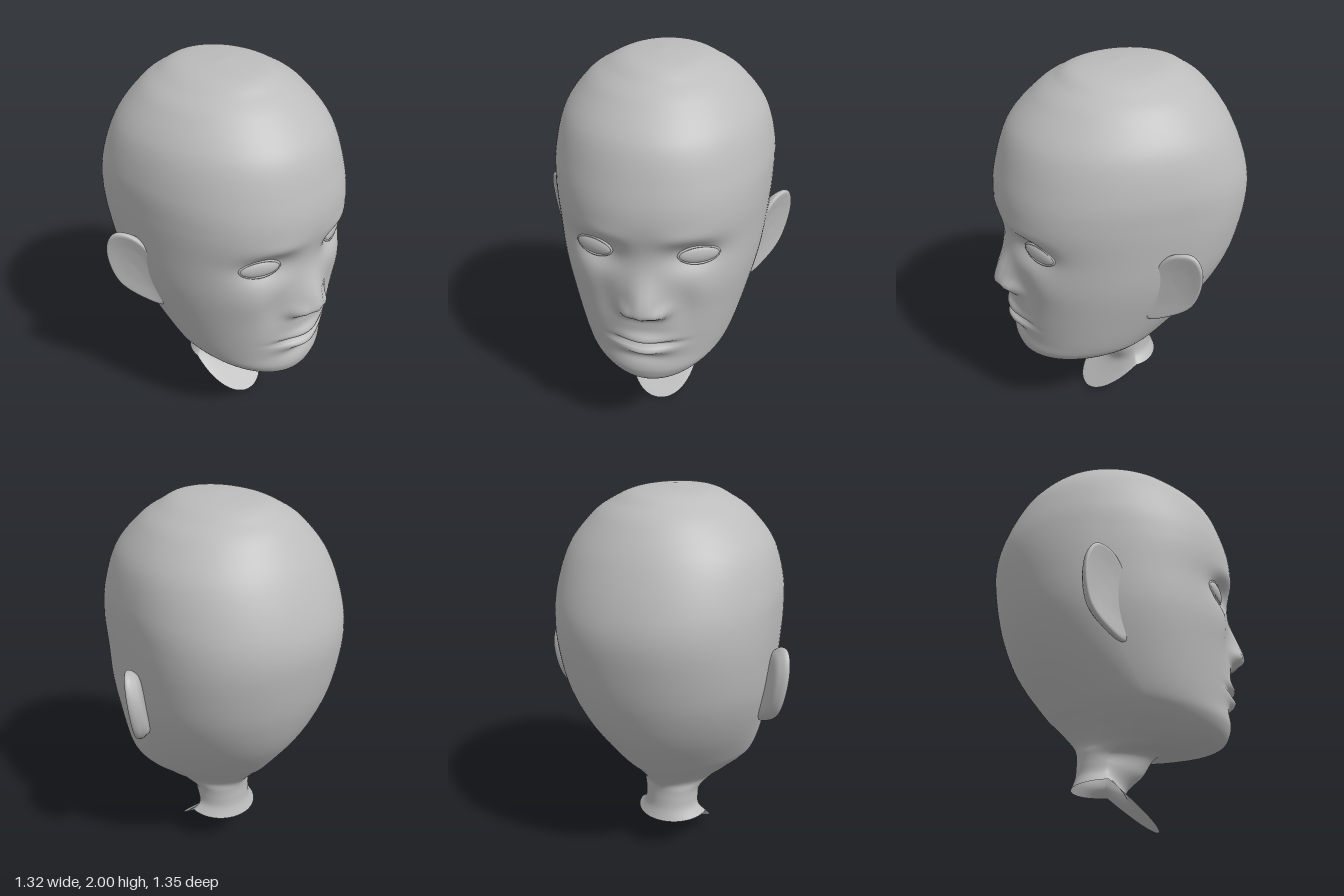
import * as THREE from 'three';

const skin = new THREE.MeshStandardMaterial({ color: 0xbcbcbc, side: THREE.DoubleSide });
skin.name = 'plain grey';

// Closed-around surface from f(u, v), u wrapping round, v running from row to row
function surface(nu, nv, f, flip = false) {
  const pos = [], index = [];
  for (let j = 0; j <= nv; j++)
    for (let i = 0; i < nu; i++) pos.push(...f(i / nu, j / nv));
  for (let j = 0; j < nv; j++)
    for (let i = 0; i < nu; i++) {
      const k = (i + 1) % nu;
      const a = j * nu + i, b = j * nu + k, c = a + nu, d = b + nu;
      if (flip) index.push(a, b, c, b, d, c);
      else index.push(a, c, b, b, c, d);
    }
  const g = new THREE.BufferGeometry();
  g.setAttribute('position', new THREE.Float32BufferAttribute(pos, 3));
  g.setIndex(index);
  g.computeVertexNormals();
  return g;
}

// Smooth interpolation through rows of numbers
function sampleRows(rows, v) {
  const n = rows.length - 1, s = Math.min(v * n, n - 1e-6), i = Math.floor(s), t = s - i;
  const at = k => rows[Math.max(0, Math.min(n, k))];
  return rows[0].map((_, c) => {
    const [p, q, r, w] = [at(i - 1)[c], at(i)[c], at(i + 1)[c], at(i + 2)[c]];
    return q + 0.5 * t * (r - p + t * (2 * p - 5 * q + 4 * r - w + t * (3 * (q - r) + w - p)));
  });
}

// Skull sections: half width, widest z, height, front z, back z, front and back roundness
const skull = [
  [0.00, -0.02, 2.00, -0.02, -0.02, 2.0, 2.0],
  [0.185, -0.04, 1.98, 0.20, -0.27, 2.0, 2.0],
  [0.30, -0.05, 1.93, 0.30, -0.375, 2.0, 2.0],
  [0.395, -0.06, 1.86, 0.40, -0.46, 2.0, 2.0],
  [0.50, -0.08, 1.72, 0.53, -0.56, 2.05, 2.05],
  [0.55, -0.10, 1.54, 0.595, -0.64, 2.15, 2.1],
  [0.556, -0.12, 1.38, 0.62, -0.675, 2.25, 2.15],
  [0.545, -0.12, 1.20, 0.60, -0.66, 2.3, 2.15],
  [0.52, -0.08, 1.00, 0.595, -0.615, 2.3, 2.1],
  [0.47, 0.00, 0.80, 0.59, -0.53, 2.2, 1.95],
].map(([w, zm, y, zF, zB, nF, nB]) => [w, zm, y, zF, y, zB, y, nF, nB]);

// Jaw and neck sections: half width, widest z, side y, front z, front y, back z, back y, roundness
const sections = [...skull,
  [0.405, 0.10, 0.60, 0.575, 0.60, -0.39, 0.60, 2.1, 1.7],
  [0.355, 0.12, 0.52, 0.575, 0.50, -0.315, 0.52, 2.1, 1.6],
  [0.28, 0.12, 0.45, 0.53, 0.425, -0.25, 0.45, 2.0, 1.6],
  [0.205, 0.06, 0.40, 0.40, 0.385, -0.22, 0.41, 1.9, 1.75],
  [0.155, -0.04, 0.355, 0.21, 0.38, -0.21, 0.37, 1.5, 2.0],
  [0.147, -0.06, 0.30, 0.125, 0.275, -0.21, 0.32, 1.5, 2.0],
  [0.155, -0.06, 0.25, 0.04, 0.16, -0.215, 0.26, 1.7, 2.0],
  [0.195, -0.05, 0.21, 0.20, 0.00, -0.235, 0.20, 2.1, 2.0],
];

const bump = (x, y, cx, cy, sx, sy) => Math.exp(-(((x - cx) / sx) ** 2) - ((y - cy) / sy) ** 2);
const band = (x, y, cy, sx, sy) => Math.exp(-((x / sx) ** 4) - ((y - cy) / sy) ** 2);
const smooth = THREE.MathUtils.smoothstep;

// Forward relief of the face at (x, y)
function relief(x, y) {
  const ax = Math.abs(x);
  // nose: ridge growing towards the rounded tip, with nostril wings
  const down = smooth(1.22 - y, 0, 0.3);
  const under = smooth(y, 0.825 + ax * 0.15, 0.91);
  const width = 0.05 + 0.03 * down;
  let d = 0.085 * down ** 1.6 * under * Math.exp(-((ax / width) ** 2));
  d += 0.035 * bump(ax, y, 0.085, 0.9, 0.033, 0.04);
  // brows, eye sockets and cheeks
  d += 0.012 * bump(ax, y, 0.2, 1.3, 0.12, 0.045);
  d -= 0.066 * bump(ax, y, 0.225, 1.19, 0.115, 0.075);
  d -= 0.015 * bump(ax, y, 0.19, 0.92, 0.06, 0.14);
  d += 0.01 * bump(ax, y, 0.31, 1.0, 0.1, 0.1);
  // lips, mouth line and chin
  d += 0.03 * bump(ax, y, 0, 0.722, 0.11, 0.028);
  d += 0.036 * bump(ax, y, 0, 0.655, 0.11, 0.026);
  d -= 0.026 * band(ax, y, 0.693, 0.175, 0.012);
  d -= 0.012 * bump(ax, y, 0, 0.595, 0.12, 0.03);
  return d;
}

function headPoint(u, v) {
  const [w, zm, yS, zF, yF, zB, yB, nF, nB] = sampleRows(sections, v);
  const a = u * Math.PI * 2, s = Math.sin(a), c = Math.cos(a);
  const e = 2 / (c > 0 ? nF : nB);
  const x = w * Math.sign(s) * Math.abs(s) ** e;
  const k = Math.abs(c) ** e;
  const y = yS + ((c > 0 ? yF : yB) - yS) * k;
  let z = zm + ((c > 0 ? zF : zB) - zm) * k;
  if (c > 0) z += relief(x, y) * smooth(z, 0.2, 0.4);
  return [x, y, z];
}

// Ear outline: distance out from the head, height
const earOutline = new THREE.CatmullRomCurve3(
  [[-0.03, 0.8], [0.09, 0.84], [0.18, 0.92], [0.215, 1.06], [0.2, 1.18],
    [0.15, 1.245], [0.07, 1.24], [0.0, 1.17], [-0.04, 1.0]]
    .map(([u, y]) => new THREE.Vector3(u, y, 0)), true);
// Ear rows from back to front: outline scale, thickness offset
const earRows = [[0, -0.06], [0.7, -0.055], [0.94, -0.025], [1, 0.0],
  [0.95, 0.012], [0.8, 0.01], [0.5, 0.004], [0, 0.0]];

function earGeometry(side) {
  return surface(40, 28, (u, v) => {
    const p = earOutline.getPoint(u);
    const [k, t] = sampleRows(earRows, v);
    const out = 0.09 + (p.x - 0.09) * k, y = 1.05 + (p.y - 1.05) * k;
    return [side * (0.53 + out * 0.62 + t * 0.8 - (1.2 - y) * 0.13), y, -out * 0.82 + t * 0.6];
  }, side > 0);
}

// Almond-shaped rim around the eye
function lidGeometry() {
  const pts = [];
  for (let i = 0; i < 24; i++) {
    const a = (i / 24) * Math.PI * 2, c = Math.cos(a), s = Math.sin(a);
    pts.push(new THREE.Vector3(0.101 * c, 0.046 * s * Math.abs(s) ** 0.2, 0.01 * (1 - c * c)));
  }
  return new THREE.TubeGeometry(new THREE.CatmullRomCurve3(pts, true), 48, 0.006, 8, true);
}

export function createModel() {
  const model = new THREE.Group();
  model.name = 'head';
  const add = (parent, name, geometry) => {
    const m = new THREE.Mesh(geometry, skin);
    m.name = name;
    parent.add(m);
    return m;
  };

  add(model, 'headAndNeck', surface(120, 17 * 15, headPoint));

  for (const [side, label] of [[1, 'left'], [-1, 'right']]) {
    add(model, label + 'Ear', earGeometry(side));

    const eye = new THREE.Group();
    eye.name = label + 'Eye';
    eye.position.set(side * 0.25, 1.19, 0.498);
    eye.rotation.y = side * 0.42;
    const ball = new THREE.SphereGeometry(1, 32, 20);
    ball.scale(0.1, 0.046, 0.024);
    add(eye, label + 'Eyeball', ball);
    add(eye, label + 'Eyelids', lidGeometry());
    model.add(eye);
  }
  return model;
}
